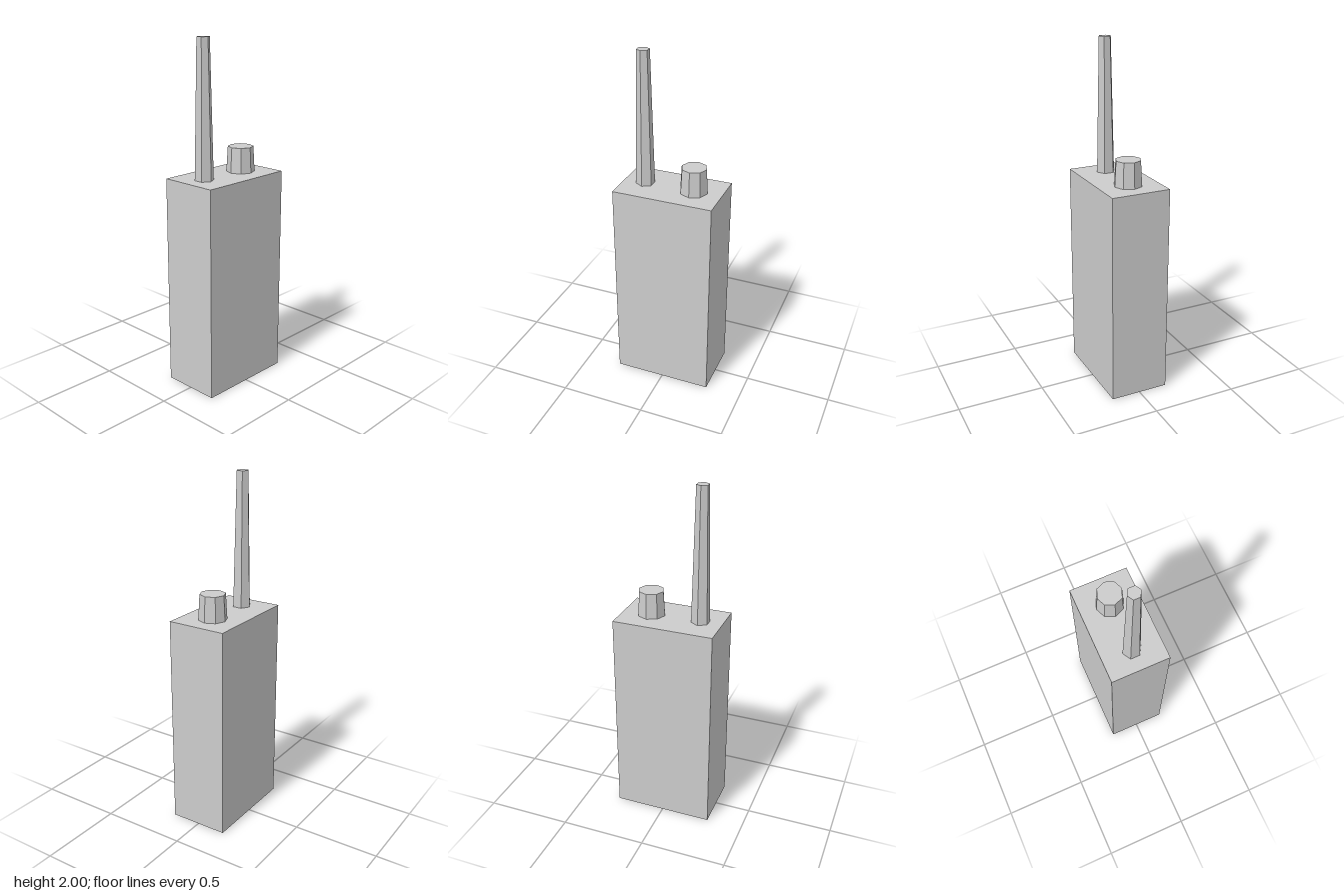
import * as THREE from 'three';

export function createModel() {
  const group = new THREE.Group();
  group.name = 'handheldRadio';
  const grey = new THREE.MeshStandardMaterial({ color: 0xcccccc, flatShading: true });
  grey.name = 'light grey';

  const bodyTop = 1.23;

  function add(name, geometry, x, y) {
    const mesh = new THREE.Mesh(geometry, grey);
    mesh.name = name;
    mesh.position.set(x, y, 0);
    group.add(mesh);
  }

  // Tapered, faceted post standing on the top of the body
  function addPost(name, x, topRadius, bottomRadius, topY, sides) {
    const height = topY - bodyTop;
    add(name, new THREE.CylinderGeometry(topRadius, bottomRadius, height, sides), x, bodyTop + height / 2);
  }

  // Case
  add('body', new THREE.BoxGeometry(0.58, bodyTop, 0.345), 0, bodyTop / 2);

  // Antenna on the model's right, dial on its left
  addPost('antenna', -0.165, 0.036, 0.054, 2, 6);
  addPost('knob', 0.127, 0.073, 0.081, 1.376, 8);

  return group;
}
